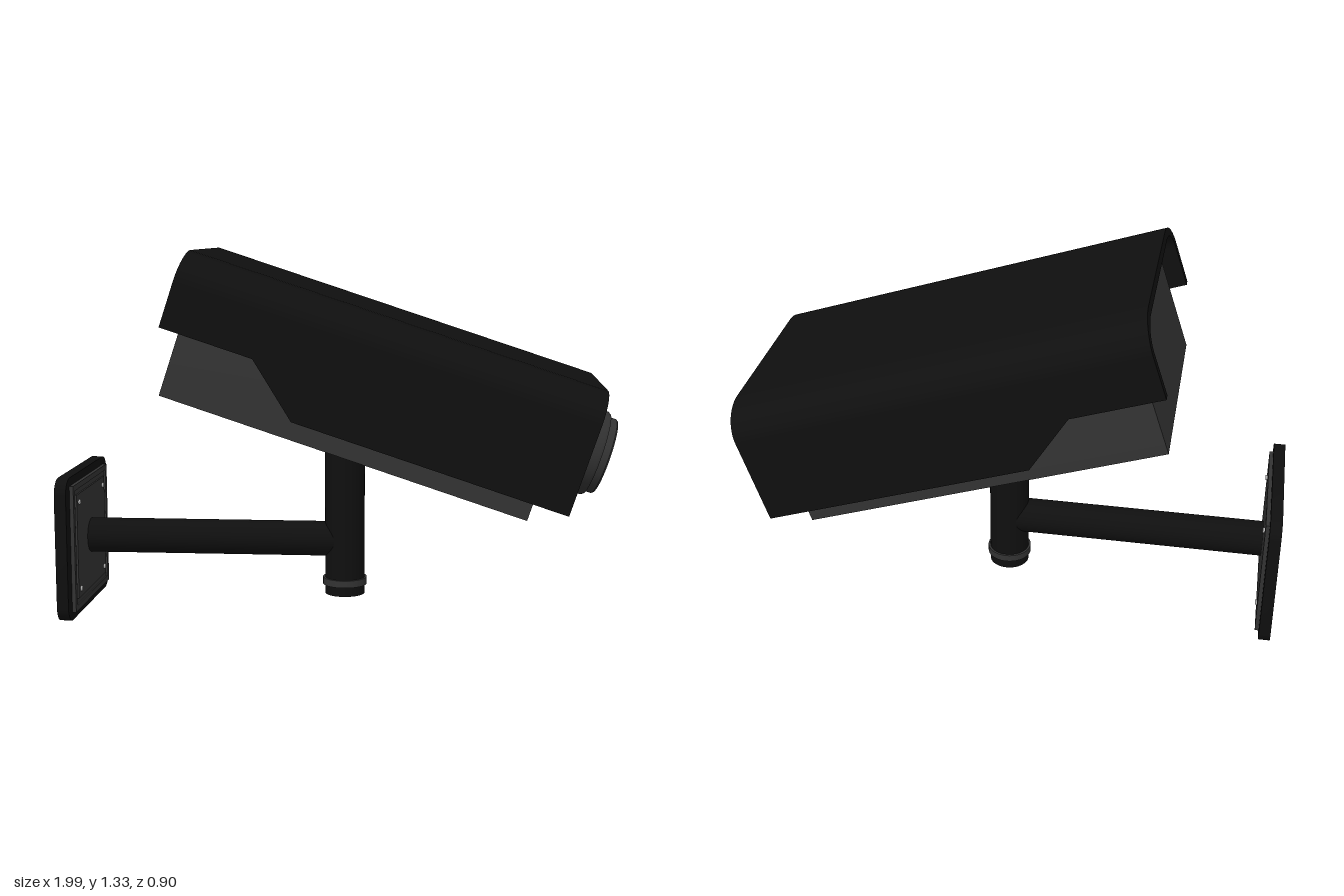
import * as THREE from 'three';
import { toCreasedNormals } from 'three/addons/utils/BufferGeometryUtils.js';

const mat = (color) => new THREE.MeshStandardMaterial({ color });
const BLACK = mat(0x0f0f0f), GREY = mat(0x333333), RED = mat(0xc01010), STEEL = mat(0xaaaaaa);

function add(parent, name, geometry, material, x = 0, y = 0, z = 0) {
  const mesh = new THREE.Mesh(geometry, material);
  mesh.name = name;
  mesh.position.set(x, y, z);
  parent.add(mesh);
  return mesh;
}

// Rectangle centred on the origin, with optional corner radius
function rect(w, h, r = 0) {
  const s = new THREE.Shape(), a = w / 2, b = h / 2;
  s.moveTo(-a + r, -b).lineTo(a - r, -b);
  if (r) s.absarc(a - r, -b + r, r, -Math.PI / 2, 0);
  s.lineTo(a, b - r);
  if (r) s.absarc(a - r, b - r, r, 0, Math.PI / 2);
  s.lineTo(-a + r, b);
  if (r) s.absarc(-a + r, b - r, r, Math.PI / 2, Math.PI);
  s.lineTo(-a, -b + r);
  if (r) s.absarc(-a + r, -b + r, r, Math.PI, Math.PI * 1.5);
  return s;
}

// Extrusion whose depth runs along +x
function extrudeX(shape, depth, steps = 1) {
  return new THREE.ExtrudeGeometry(shape, { depth, steps, bevelEnabled: false, curveSegments: 12 })
    .rotateY(Math.PI / 2);
}

// Arch of points from the right foot over the top to the left foot
function arch(half, top, bottom, rx, ry) {
  const pts = [[half, bottom]], n = 12;
  for (const side of [0, 1]) {
    for (let i = 0; i <= n; i++) {
      const t = (side + i / n) * Math.PI / 2;
      pts.push([(side ? -1 : 1) * (half - rx) + rx * Math.cos(t), top - ry + ry * Math.sin(t)]);
    }
  }
  pts.push([-half, bottom]);
  return pts.map(([x, y]) => new THREE.Vector2(x, y));
}

// Hood: arched section with the side skirts cut away towards the back
function hoodGeometry() {
  const low = -0.428, high = -0.268, stations = [0, 0.331, 0.52, 1.5];
  const outer = arch(0.452, 0, low, 0.15, 0.11);
  const inner = arch(0.42, -0.03, low, 0.12, 0.08).reverse();
  const g = extrudeX(new THREE.Shape([...outer, ...inner]), 3, 3);
  const p = g.attributes.position;
  for (let i = 0; i < p.count; i++) {
    const layer = Math.round(p.getX(i));
    if (layer < 2 && p.getY(i) < low + 0.001) p.setY(i, high);
    p.setX(i, stations[layer]);
  }
  return toCreasedNormals(g, 0.5);
}

// Turned part along +x from [station, radius] pairs
function turned(profile) {
  const g = new THREE.LatheGeometry(profile.map(([u, r]) => new THREE.Vector2(r, u)), 48);
  return toCreasedNormals(g.rotateZ(-Math.PI / 2), 0.6);
}

export function createModel() {
  const model = new THREE.Group();
  model.name = 'securityCamera';

  // Wall plate with raised border, inner panel and four screws
  const mount = new THREE.Group();
  mount.name = 'wallMount';
  mount.position.set(-1, 0.26, 0);
  model.add(mount);
  add(mount, 'wallPlate', toCreasedNormals(extrudeX(rect(0.604, 0.52, 0.06), 0.042), 0.5), BLACK);
  add(mount, 'platePanel', extrudeX(rect(0.5, 0.46), 0.01), GREY, 0.04);
  const border = rect(0.5, 0.46);
  border.holes.push(rect(0.456, 0.42));
  add(mount, 'plateBorder', extrudeX(border, 0.008), GREY, 0.048);
  add(mount, 'innerPanel', extrudeX(rect(0.41, 0.38), 0.008), GREY, 0.048);
  for (const y of [-0.16, 0.16]) {
    for (const z of [-0.175, 0.175]) {
      const screw = add(mount, 'screw', new THREE.CylinderGeometry(0.009, 0.011, 0.01, 16), STEEL, 0.058, y, z);
      screw.rotation.z = -Math.PI / 2;
    }
  }

  // Arm and post
  const arm = add(model, 'arm', new THREE.CylinderGeometry(0.064, 0.064, 0.97, 40), BLACK, -0.475, 0.263, 0);
  arm.rotation.z = Math.PI / 2;
  add(model, 'post', new THREE.CylinderGeometry(0.073, 0.073, 0.62, 40), BLACK, 0.007, 0.37, 0);
  add(model, 'postRing', new THREE.CylinderGeometry(0.081, 0.081, 0.026, 40), GREY, 0.007, 0.108, 0);

  // Tilted camera head, origin at the top back edge of the hood
  const head = new THREE.Group();
  head.name = 'cameraHead';
  head.position.set(-0.5, 1.326, 0);
  head.rotation.z = -0.32;
  model.add(head);
  add(head, 'hood', hoodGeometry(), BLACK);
  const section = new THREE.Shape(arch(0.396, -0.031, -0.497, 0.096, 0.055));
  add(head, 'body', toCreasedNormals(extrudeX(section, 1.32), 0.5), GREY, 0.06);

  // Lens barrel, dark glass and red light
  const lens = new THREE.Group();
  lens.name = 'lens';
  lens.position.set(0, -0.251, 0);
  head.add(lens);
  add(lens, 'lensBarrel', turned([
    [1.37, 0.14], [1.44, 0.14], [1.45, 0.158], [1.568, 0.158], [1.578, 0.152],
    [1.578, 0.141], [1.604, 0.141], [1.61, 0.136], [1.61, 0.113], [1.575, 0.108],
  ]), GREY);
  add(lens, 'lensGlass', turned([[1.57, 0.112], [1.587, 0.111], [1.59, 0.06], [1.592, 0]]), BLACK);
  add(lens, 'redLight', turned([[1.585, 0.018], [1.594, 0.017], [1.598, 0.01], [1.6, 0]]), RED);

  return model;
}
